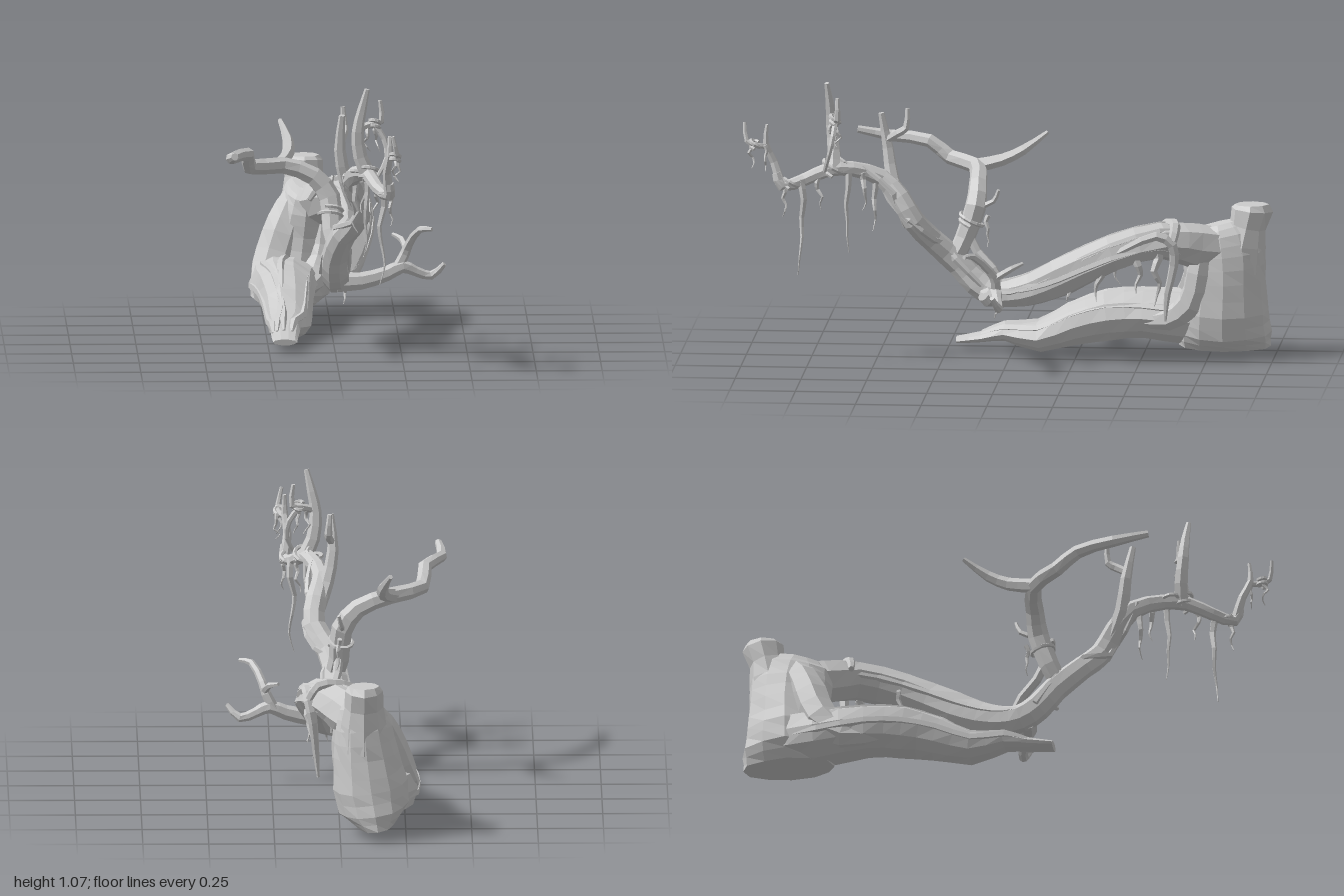
import * as THREE from 'three';

const material = new THREE.MeshStandardMaterial({ color: 0xcccccc, flatShading: true, side: THREE.DoubleSide });
const hash = (i, j) => { const s = Math.sin(i * 12.9898 + j * 78.233) * 43758.5453; return (s - Math.floor(s)) * 2 - 1; };

// Sweeps a faceted ring along points [x, y, z, radius, second radius]
function limb(group, name, pts, sides = 6, steps = 2, rough = 0) {
  const curve = new THREE.CatmullRomCurve3(pts.map(p => new THREE.Vector3(p[0], p[1], p[2])), false, 'centripetal');
  const count = (pts.length - 1) * steps, pos = [], idx = [];
  const N = new THREE.Vector3(1, 0, 0), B = new THREE.Vector3();
  for (let i = 0; i <= count; i++) {
    const t = i / count, T = curve.getTangent(t), C = curve.getPoint(t);
    if (i === 0 && Math.abs(T.x) > 0.9) N.set(0, 1, 0);
    N.addScaledVector(T, -N.dot(T)).normalize();
    B.crossVectors(T, N);
    const k = Math.min(Math.floor(i / steps), pts.length - 2), f = i / steps - k;
    const r1 = THREE.MathUtils.lerp(pts[k][3], pts[k + 1][3], f);
    const r2 = THREE.MathUtils.lerp(pts[k][4] ?? pts[k][3], pts[k + 1][4] ?? pts[k + 1][3], f);
    for (let j = 0; j < sides; j++) {
      const a = j / sides * Math.PI * 2, w = 1 + rough * (0.6 * hash(1, j) + 0.4 * hash(i, j));
      const v = C.clone().addScaledVector(N, Math.cos(a) * r1 * w).addScaledVector(B, Math.sin(a) * r2 * w);
      pos.push(v.x, v.y, v.z);
    }
  }
  for (let i = 0; i < count; i++) for (let j = 0; j < sides; j++) {
    const a = i * sides + j, b = i * sides + (j + 1) % sides;
    idx.push(a, b, a + sides, b, b + sides, a + sides);
  }
  const first = pos.length / 3, last = count * sides;
  for (const p of [pts[0], pts[pts.length - 1]]) pos.push(p[0], p[1], p[2]);
  for (let j = 0; j < sides; j++) {
    const n = (j + 1) % sides;
    idx.push(first, n, j, first + 1, last + j, last + n);
  }
  let geo = new THREE.BufferGeometry();
  geo.setAttribute('position', new THREE.Float32BufferAttribute(pos, 3));
  geo.setIndex(idx);
  geo = geo.toNonIndexed();
  geo.computeVertexNormals();
  const mesh = new THREE.Mesh(geo, material);
  mesh.name = name;
  group.add(mesh);
}

// Bark strand lying on a limb that runs roughly along z
function strand(group, name, path, from, to, r) {
  const n = path.length - 1;
  limb(group, name, path.map((p, i) => {
    const a = THREE.MathUtils.lerp(from, to, i / n), q = 0.88;
    return [p[0] + Math.cos(a) * p[3] * q, p[1] + Math.sin(a) * (p[4] ?? p[3]) * q, p[2], i === 0 || i === n ? r * 0.4 : r];
  }), 5, 2);
}

// Wavy tapering hanging root
function hanging(group, x, y, z, length, r, seed) {
  const pts = [];
  for (let i = 0; i <= 5; i++) {
    const t = i / 5, w = 0.014 * Math.min(1, i);
    pts.push([x + hash(seed, i) * w, y - length * t, z + hash(seed + 9, i) * w, r * (1 - t) + 0.0015]);
  }
  limb(group, 'hangingRoot', pts, 5, 2);
}

// Thin vine coiled round a twig or branch
function coil(group, x, y, z, radius, turns, height) {
  const pts = [], n = Math.round(turns * 6);
  for (let i = 0; i <= n; i++) {
    const a = i / 6 * Math.PI * 2;
    pts.push([x + Math.cos(a) * radius, y + (i / n - 0.5) * height + Math.sin(a) * radius * 0.4, z + Math.sin(a) * radius, 0.008]);
  }
  limb(group, 'coiledVine', pts, 5, 2);
}

export function createModel() {
  const g = new THREE.Group();
  g.name = 'twistedTree';

  // Cut stub and trunk, narrowing to a keel below
  limb(g, 'stub', [[-0.09, 0.605, -0.915, 0.058, 0.065], [-0.09, 0.585, -0.915, 0.07, 0.08], [-0.09, 0.52, -0.9, 0.073, 0.07],
    [-0.09, 0.45, -0.885, 0.085, 0.085], [-0.09, 0.35, -0.875, 0.09, 0.09]], 8, 1, 0.05);
  limb(g, 'trunk', [
    [-0.085, 0.53, -0.79, 0.05, 0.1], [-0.085, 0.49, -0.8, 0.085, 0.145], [-0.09, 0.42, -0.81, 0.105, 0.16], [-0.1, 0.32, -0.815, 0.122, 0.155],
    [-0.115, 0.2, -0.81, 0.14, 0.17], [-0.13, 0.11, -0.81, 0.13, 0.18], [-0.14, 0.05, -0.81, 0.075, 0.175]], 12, 2, 0.05);

  // Root reaching forward along the ground
  const root = [
    [-0.13, 0.17, -0.86, 0.1, 0.1], [-0.17, 0.155, -0.68, 0.135, 0.105], [-0.18, 0.165, -0.5, 0.125, 0.095],
    [-0.175, 0.155, -0.36, 0.108, 0.095], [-0.17, 0.12, -0.23, 0.095, 0.08], [-0.17, 0.07, -0.1, 0.082, 0.058],
    [-0.185, 0.08, 0.03, 0.058, 0.032], [-0.19, 0.06, 0.12, 0.052, 0.02], [-0.19, 0.047, 0.215, 0.045, 0.012]];
  limb(g, 'groundRoot', root, 10, 2, 0.08);
  for (const [a, b] of [[2.4, 1.6], [1.4, 2.2], [0.3, 0.9], [3.4, 2.7]]) strand(g, 'rootStrand', root.slice(0, 8), a, b, 0.017);
  // Flank buttresses between trunk and root
  limb(g, 'buttress', [[-0.1, 0.49, -0.81, 0.045], [-0.145, 0.42, -0.76, 0.065], [-0.185, 0.32, -0.72, 0.075], [-0.225, 0.2, -0.67, 0.075],
    [-0.245, 0.13, -0.58, 0.06], [-0.235, 0.13, -0.42, 0.03]], 7, 2, 0.08);
  limb(g, 'buttress', [[-0.03, 0.45, -0.735, 0.04], [-0.02, 0.35, -0.72, 0.05], [-0.035, 0.23, -0.69, 0.055], [-0.07, 0.16, -0.6, 0.045], [-0.1, 0.15, -0.46, 0.02]], 7, 2, 0.08);

  // Main branch, dipping then climbing to the tip
  const main = [
    [-0.09, 0.43, -0.84, 0.07, 0.08], [-0.03, 0.455, -0.7, 0.09, 0.088], [0.045, 0.485, -0.58, 0.085, 0.07], [0.085, 0.44, -0.4, 0.08, 0.072],
    [0.065, 0.34, -0.2, 0.068, 0.077], [0.045, 0.293, -0.1, 0.06, 0.067], [0.025, 0.268, -0.01, 0.055, 0.058], [0.01, 0.268, 0.06, 0.055],
    [0.002, 0.305, 0.125, 0.053], [0, 0.375, 0.19, 0.05], [0.03, 0.47, 0.29, 0.046], [0.085, 0.55, 0.355, 0.044], [0.075, 0.64, 0.41, 0.042],
    [0.055, 0.71, 0.48, 0.036], [0.09, 0.75, 0.59, 0.03], [0.12, 0.75, 0.68, 0.028], [0.15, 0.715, 0.77, 0.025], [0.19, 0.7, 0.85, 0.022], [0.19, 0.75, 0.87, 0.016]];
  limb(g, 'mainBranch', main, 8, 2, 0.06);
  for (const [a, b] of [[2.2, 1.2], [0.9, 0.1], [3.3, 2.6], [-0.5, 0.5]]) strand(g, 'branchStrand', main.slice(1, 8), a, b, 0.014);
  limb(g, 'branchVine', [[-0.05, 0.3, 0.12, 0.012], [-0.02, 0.43, 0.21, 0.014], [0.08, 0.48, 0.28, 0.013], [0.12, 0.56, 0.37, 0.013], [0.06, 0.63, 0.45, 0.013], [0.03, 0.73, 0.5, 0.01]], 5);
  limb(g, 'branchVine', [[0.05, 0.3, 0.1, 0.01], [0.05, 0.4, 0.2, 0.014], [0, 0.5, 0.3, 0.014], [0.06, 0.53, 0.39, 0.013], [0.11, 0.66, 0.43, 0.012], [0.09, 0.76, 0.55, 0.01]], 5);

  // Collar root over the branch, and another running along it then dropping to the ground root
  limb(g, 'collarRoot', [[-0.08, 0.48, -0.58, 0.012], [-0.04, 0.53, -0.59, 0.018], [0.02, 0.547, -0.62, 0.02], [0.08, 0.545, -0.64, 0.02], [0.115, 0.49, -0.63, 0.018]], 6);
  limb(g, 'droppingRoot', [[0.14, 0.4, -0.32, 0.008], [0.145, 0.465, -0.45, 0.016], [0.125, 0.515, -0.57, 0.019], [0.115, 0.48, -0.63, 0.021],
    [0.1, 0.4, -0.635, 0.018], [0.09, 0.29, -0.61, 0.014], [0.08, 0.18, -0.6, 0.006]], 6);

  // Upper right branch with its side twig
  limb(g, 'upperRightBranch', [
    [0.01, 0.39, 0.21, 0.035], [-0.01, 0.47, 0.17, 0.04], [-0.02, 0.59, 0.13, 0.042], [-0.08, 0.67, 0.125, 0.036], [-0.2, 0.715, 0.14, 0.032],
    [-0.325, 0.725, 0.25, 0.029], [-0.335, 0.785, 0.33, 0.026], [-0.4, 0.79, 0.48, 0.022], [-0.39, 0.815, 0.61, 0.014]], 7, 2, 0.05);
  limb(g, 'sideTwig', [[-0.21, 0.715, 0.14, 0.028], [-0.175, 0.745, 0.04, 0.025], [-0.172, 0.785, -0.04, 0.021], [-0.2, 0.85, -0.13, 0.009]], 6);
  limb(g, 'shortTwig', [[-0.02, 0.59, 0.12, 0.012], [-0.015, 0.615, 0.06, 0.01], [-0.005, 0.66, 0.04, 0.007]], 5);
  limb(g, 'loopRoot', [[-0.01, 0.5, 0.16, 0.018], [0, 0.42, 0.12, 0.018], [0.02, 0.36, 0.06, 0.018], [0.03, 0.29, 0.02, 0.014]], 6);
  limb(g, 'loopRoot', [[-0.025, 0.48, 0.15, 0.012], [0, 0.435, 0.2, 0.016], [0, 0.435, 0.27, 0.014], [0.02, 0.45, 0.32, 0.009]], 6);
  coil(g, -0.015, 0.535, 0.145, 0.044, 1.3, 0.03);

  // Lower left branch with forked twigs
  limb(g, 'lowerLeftBranch', [[0.01, 0.26, 0.08, 0.04], [0.1, 0.26, 0.07, 0.034], [0.2, 0.285, 0.045, 0.029], [0.26, 0.31, 0.03, 0.026],
    [0.31, 0.29, 0.02, 0.02], [0.37, 0.272, 0.01, 0.018], [0.42, 0.32, 0.03, 0.009]], 7);
  limb(g, 'forkTwig', [[0.24, 0.3, 0.03, 0.022], [0.27, 0.36, 0.03, 0.019], [0.285, 0.4, 0.05, 0.016], [0.325, 0.463, 0.11, 0.014], [0.37, 0.467, 0.14, 0.008]], 6);
  limb(g, 'forkTwig', [[0.275, 0.37, 0.03, 0.014], [0.26, 0.405, -0.03, 0.012], [0.225, 0.42, -0.07, 0.007]], 5);

  // Upright twigs along the climbing branch
  const uprights = [
    [[0.07, 0.61, 0.4, 0.03], [0.035, 0.7, 0.44, 0.027], [0.012, 0.82, 0.46, 0.022], [0.02, 0.955, 0.485, 0.012]],
    [[0.015, 0.85, 0.465, 0.015], [0.03, 0.88, 0.42, 0.016], [0.03, 0.9, 0.39, 0.015], [0.025, 0.975, 0.385, 0.009]],
    [[0.12, 0.745, 0.66, 0.03], [0.085, 0.82, 0.66, 0.027], [0.075, 0.92, 0.67, 0.023], [0.09, 1, 0.675, 0.018], [0.11, 1.083, 0.685, 0.01]],
    [[0.078, 0.93, 0.67, 0.014], [0.13, 0.945, 0.65, 0.015], [0.165, 0.955, 0.64, 0.013], [0.16, 1.035, 0.64, 0.008]],
    [[0.14, 0.94, 0.65, 0.011], [0.175, 0.89, 0.655, 0.011], [0.185, 0.82, 0.67, 0.009], [0.15, 0.75, 0.69, 0.008]],
    [[0.19, 0.71, 0.855, 0.02], [0.18, 0.79, 0.88, 0.016], [0.19, 0.86, 0.91, 0.013], [0.19, 0.935, 0.905, 0.007]],
    [[0.19, 0.85, 0.905, 0.01], [0.215, 0.86, 0.95, 0.011], [0.215, 0.875, 0.98, 0.01], [0.2, 0.945, 0.99, 0.007]]];
  for (const u of uprights) limb(g, 'uprightTwig', u, 6);

  // Coiled vines on the outer twigs and branch
  for (const [x, y, z, r, t, h] of [[0.12, 0.755, 0.66, 0.036, 1.5, 0.05], [0.08, 0.765, 0.62, 0.028, 1.2, 0.04], [0.14, 0.945, 0.65, 0.018, 1.5, 0.03],
    [0.21, 0.86, 0.95, 0.017, 1.6, 0.03], [0.18, 0.705, 0.82, 0.025, 1.2, 0.03]]) coil(g, x, y, z, r, t, h);

  // Hanging roots: x, top y, z, length, radius
  [[0.165, 0.72, 0.78, 0.37, 0.014], [0.11, 0.74, 0.6, 0.31, 0.012], [0.07, 0.71, 0.5, 0.2, 0.013], [0.1, 0.74, 0.55, 0.15, 0.012],
    [0.14, 0.73, 0.71, 0.13, 0.01], [0.19, 0.7, 0.84, 0.12, 0.009], [0.21, 0.87, 0.96, 0.1, 0.008], [0.22, 0.86, 0.91, 0.1, 0.007],
    [0.11, 0.93, 0.66, 0.09, 0.008], [0.15, 0.94, 0.64, 0.1, 0.007], [0.035, 0.27, 0.04, 0.1, 0.011], [-0.01, 0.56, 0.08, 0.12, 0.009],
    [0.12, 0.42, -0.35, 0.16, 0.02], [0.1, 0.36, -0.23, 0.11, 0.018], [0.115, 0.47, -0.5, 0.18, 0.022], [0.1, 0.47, -0.57, 0.23, 0.02],
    [0.03, 0.44, -0.42, 0.13, 0.014]].forEach((h, i) => hanging(g, ...h, i + 1));

  return g;
}
